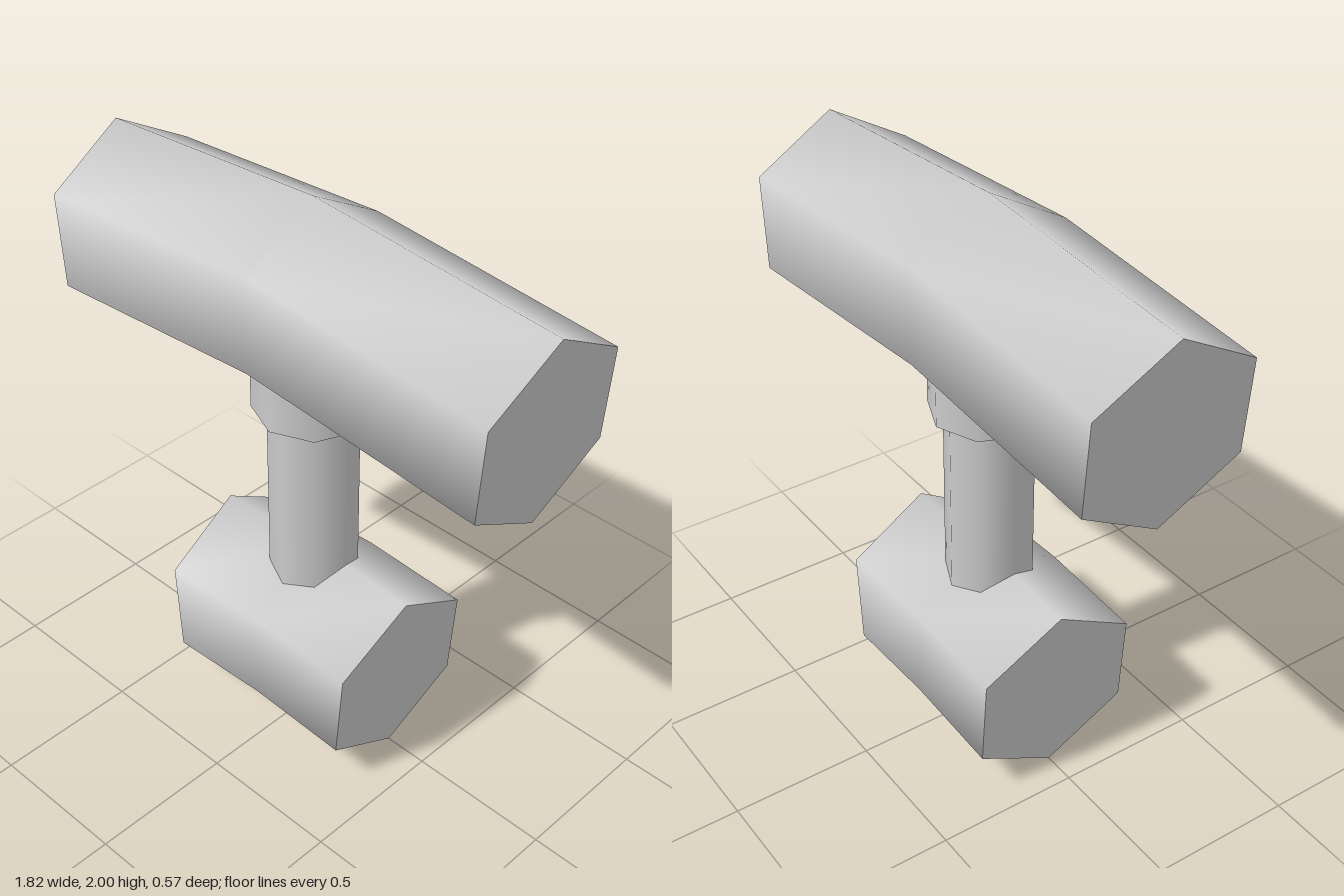
import * as THREE from 'three';
import { mergeGeometries } from 'three/addons/utils/BufferGeometryUtils.js';

const SIDES = 6, RADIUS = 0.328, AXIS_X = -0.02;
const material = new THREE.MeshStandardMaterial({ color: 0xcccccc });

function addMesh(group, name, geometry) {
  const mesh = new THREE.Mesh(geometry, material);
  mesh.name = name;
  group.add(mesh);
  return mesh;
}

function indexed(positions, index) {
  const geometry = new THREE.BufferGeometry();
  geometry.setAttribute('position', new THREE.Float32BufferAttribute(positions, 3));
  geometry.setIndex(index);
  geometry.computeVertexNormals();
  return geometry;
}

// Hexagonal bar lofted through sections [x, y, lean]; smooth sides, flat ends
function bentBar(sections) {
  const rings = sections.map(([x, y, lean]) => Array.from({ length: SIDES }, (_, j) => {
    const a = (j / SIDES) * Math.PI * 2, up = RADIUS * Math.cos(a);
    return [x + up * Math.sin(lean), y + up * Math.cos(lean), RADIUS * Math.sin(a)];
  }));

  const sideIndex = [];
  for (let i = 0; i < rings.length - 1; i++) {
    for (let j = 0; j < SIDES; j++) {
      const a = i * SIDES + j, b = i * SIDES + (j + 1) % SIDES;
      sideIndex.push(a, b, a + SIDES, b, b + SIDES, a + SIDES);
    }
  }

  const startIndex = [], endIndex = [];
  for (let j = 1; j < SIDES - 1; j++) {
    startIndex.push(0, j + 1, j);
    endIndex.push(0, j, j + 1);
  }
  return mergeGeometries([
    indexed(rings.flat(2), sideIndex),
    indexed(rings[0].flat(), startIndex),
    indexed(rings[rings.length - 1].flat(), endIndex),
  ]);
}

// Upright eight-sided cylinder between two heights
function upright(radius, bottom, top) {
  return new THREE.CylinderGeometry(radius, radius, top - bottom, 8)
    .translate(AXIS_X, (bottom + top) / 2, 0);
}

export function createModel() {
  const group = new THREE.Group();
  group.name = 'doubleBarHandle';

  // Long upper bar, drooping at both ends
  addMesh(group, 'upperBar', bentBar([
    [-0.885, 1.618, -0.076], [AXIS_X, 1.672, 0], [0.887, 1.597, 0.07],
  ]));

  // Short lower bar with the same bend
  addMesh(group, 'lowerBar', bentBar([
    [-0.408, 0.331, -0.07], [-0.015, 0.351, 0], [0.373, 0.332, 0.083],
  ]));

  // Post joining the bars, with a collar under the upper one
  addMesh(group, 'post', upright(0.15, 0.4, 1.5));
  addMesh(group, 'collar', upright(0.2, 1.25, 1.55));

  return group;
}
